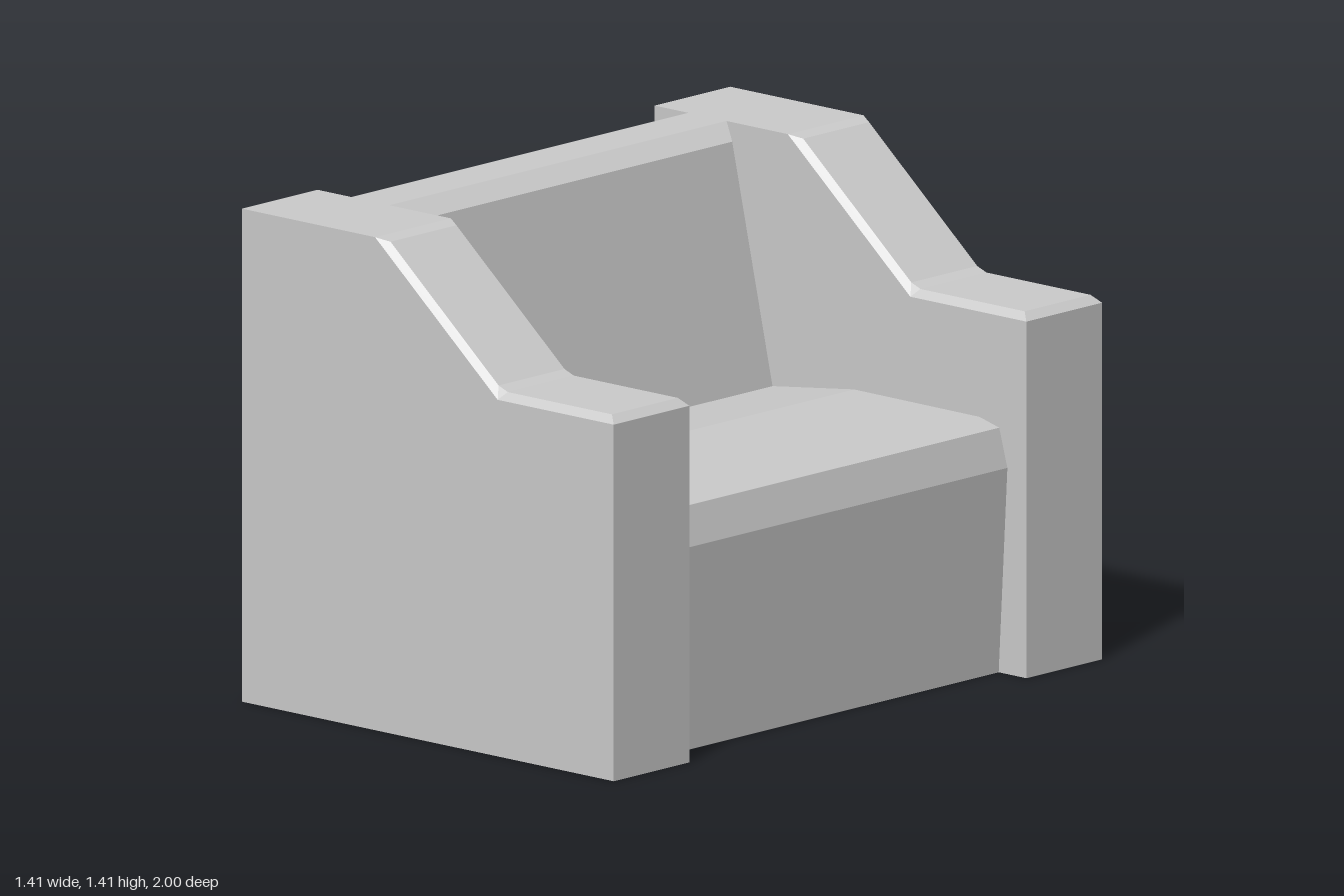
import * as THREE from 'three';

const material = new THREE.MeshStandardMaterial({ color: 0xcccccc, flatShading: true });

// Lofts a counter-clockwise profile along z with raised, bevelled faces.
// Each point: [edgeX, edgeY, innerX, innerY, inset]; the last three are optional.
function bevelledLoft(name, profile, halfWidth) {
  const points = profile.map(([ex, ey, mx = ex, my = ey, dz = 0]) => ({ ex, ey, mx, my, dz }));
  const rows = [
    points.map(p => new THREE.Vector3(p.ex, p.ey, -halfWidth)),
    points.map(p => new THREE.Vector3(p.mx, p.my, -halfWidth + p.dz)),
    points.map(p => new THREE.Vector3(p.mx, p.my, halfWidth - p.dz)),
    points.map(p => new THREE.Vector3(p.ex, p.ey, halfWidth)),
  ];
  const positions = [];
  const addTriangle = (a, b, c) => {
    if (new THREE.Triangle(a, b, c).getArea() < 1e-7) return;
    for (const v of [a, b, c]) positions.push(v.x, v.y, v.z);
  };

  // Skin between neighbouring rows
  for (let r = 0; r < 3; r++) {
    points.forEach((_, i) => {
      const j = (i + 1) % points.length;
      const a = rows[r][i], b = rows[r][j], c = rows[r + 1][j], d = rows[r + 1][i];
      addTriangle(a, b, c);
      addTriangle(a, c, d);
    });
  }

  // Flat ends, with coincident corners merged
  const keep = points.map((_, i) => i)
    .filter(i => i === 0 || rows[0][i].distanceTo(rows[0][i - 1]) > 1e-6);
  const outline = keep.map(i => new THREE.Vector2(points[i].ex, points[i].ey));
  for (const [a, b, c] of THREE.ShapeUtils.triangulateShape(outline, [])) {
    addTriangle(rows[3][keep[a]], rows[3][keep[b]], rows[3][keep[c]]);
    addTriangle(rows[0][keep[c]], rows[0][keep[b]], rows[0][keep[a]]);
  }

  const geometry = new THREE.BufferGeometry();
  geometry.setAttribute('position', new THREE.Float32BufferAttribute(positions, 3));
  geometry.computeVertexNormals();
  const mesh = new THREE.Mesh(geometry, material);
  mesh.name = name;
  return mesh;
}

export function createModel() {
  const group = new THREE.Group();
  group.name = 'armchair';

  // Arms: tall at the back, sloping down to a low bevelled front
  const armProfile = [
    [-0.705, 0],
    [0.705, 0],
    [0.705, 1.02],
    [0.705, 1.02, 0.68, 1.042, 0.02],
    [0.265, 1.02, 0.285, 1.042, 0.02],
    [0.265, 1.02, 0.25, 1.055, 0.02],
    [-0.2, 1.41, -0.16, 1.4, 0.02],
    [-0.2, 1.41],
    [-0.705, 1.41],
  ];
  for (const [name, side] of [['frontArm', 1], ['rearArm', -1]]) {
    const arm = bevelledLoft(name, armProfile, 0.155);
    arm.position.z = side * 0.845;
    group.add(arm);
  }

  // Seat and leaning backrest in one piece, open underneath behind the front panel
  const seatProfile = [
    [0.37, 0],
    [0.6, 0],
    [0.633, 0.59],
    [0.602, 0.7],
    [0.602, 0.7, 0.55, 0.727, 0.025], // raised cushion
    [0.08, 0.707, 0.07, 0.727, 0.02],
    [-0.258, 0.68], // crease
    [-0.432, 1.41, -0.38, 1.365, 0.033], // raised back cushion
    [-0.432, 1.41],
    [-0.577, 1.41],
    [-0.434, 0.67],
    [-0.39, 0.545],
    [0.35, 0.545],
  ];
  group.add(bevelledLoft('seatAndBackrest', seatProfile, 0.69));

  return group;
}
